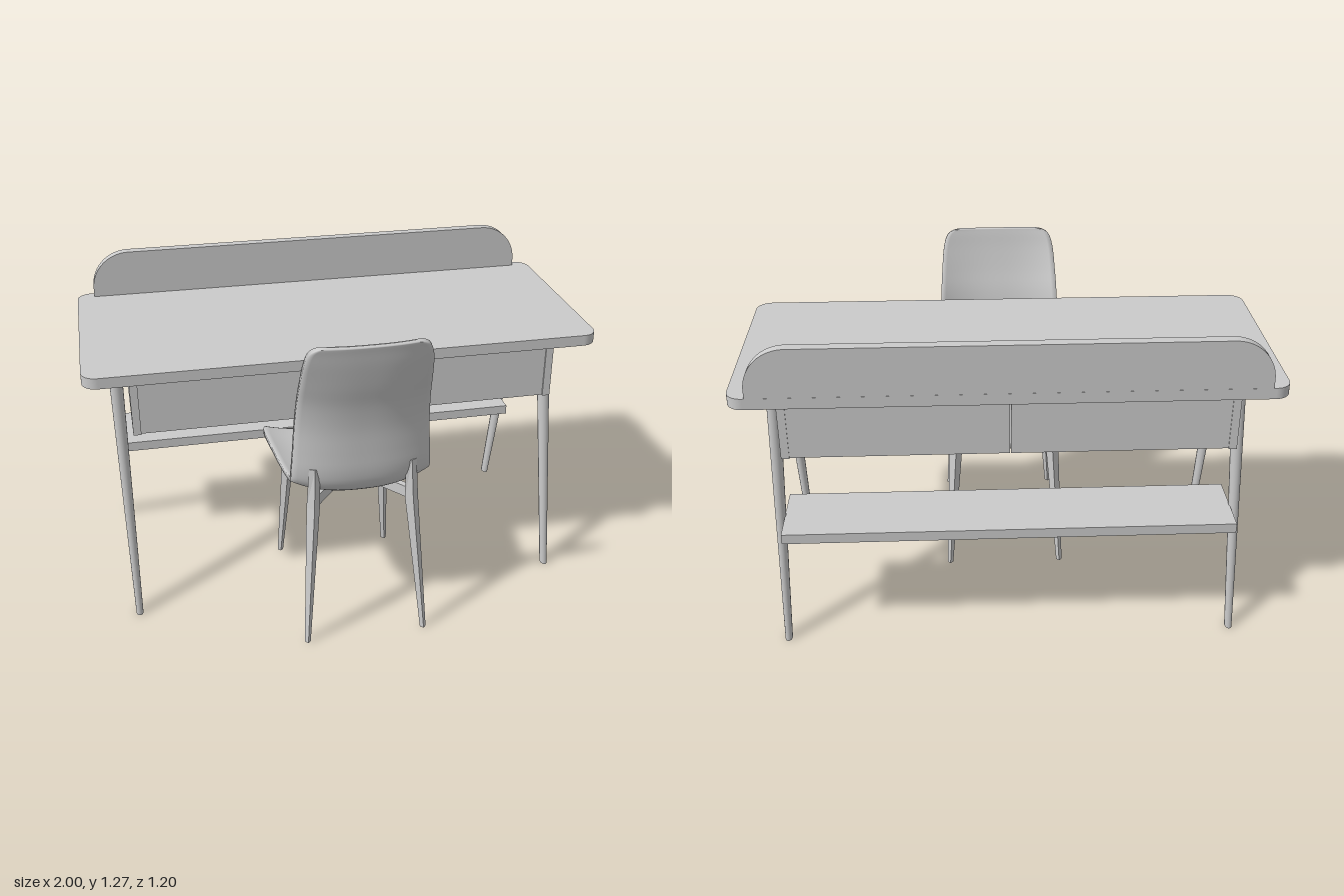
import * as THREE from 'three';

const grey = new THREE.MeshStandardMaterial({ color: 0xcccccc });
const greyFlat = new THREE.MeshStandardMaterial({ color: 0xcccccc, flatShading: true });

function add(parent, name, geometry, material = grey) {
  const mesh = new THREE.Mesh(geometry, material);
  mesh.name = name;
  parent.add(mesh);
  return mesh;
}

// Box given by its limits on each axis
function box(parent, name, [x0, x1], [y0, y1], [z0, z1]) {
  const g = new THREE.BoxGeometry(x1 - x0, y1 - y0, z1 - z0);
  g.translate((x0 + x1) / 2, (y0 + y1) / 2, (z0 + z1) / 2);
  return add(parent, name, g);
}

// Slab from a rectangle with rounded upper and lower corners
function slab(w, h, rTop, rBottom, depth) {
  const s = new THREE.Shape();
  const x = w / 2, y = h / 2;
  s.moveTo(-x + rBottom, -y);
  s.lineTo(x - rBottom, -y);
  if (rBottom) s.absarc(x - rBottom, -y + rBottom, rBottom, -Math.PI / 2, 0);
  s.lineTo(x, y - rTop);
  s.absarc(x - rTop, y - rTop, rTop, 0, Math.PI / 2);
  s.absarc(-x + rTop, y - rTop, rTop, Math.PI / 2, Math.PI);
  s.lineTo(-x, -y + rBottom);
  if (rBottom) s.absarc(-x + rBottom, -y + rBottom, rBottom, Math.PI, Math.PI * 1.5);
  return new THREE.ExtrudeGeometry(s, { depth, bevelEnabled: false, curveSegments: 12 });
}

// Slanted tapering post with level ends; each end is [x, y, z, rx, rz]
function post(parent, name, sides, low, high) {
  const g = new THREE.CylinderGeometry(1, 1, 1, sides);
  const p = g.attributes.position;
  for (let i = 0; i < p.count; i++) {
    const t = p.getY(i) + 0.5;
    const [cx, cy, cz, rx, rz] = low.map((v, k) => v + (high[k] - v) * t);
    p.setXYZ(i, cx + p.getX(i) * rx, cy, cz + p.getZ(i) * rz);
  }
  return add(parent, name, g, sides < 8 ? greyFlat : grey);
}

function createDesk() {
  const desk = new THREE.Group();
  desk.name = 'desk';

  const top = slab(2, 0.855, 0.06, 0.06, 0.043);
  top.rotateX(-Math.PI / 2).translate(0, 1.032, -0.168);
  add(desk, 'deskTop', top);

  const panel = slab(1.86, 0.187, 0.155, 0, 0.04);
  panel.translate(0, 1.168, -0.595);
  add(desk, 'backPanel', panel);

  box(desk, 'footShelf', [-0.857, 0.857], [0.455, 0.495], [-0.585, -0.3]);

  for (const s of [-1, 1]) {
    // Drawer case: two drawers between side panels
    const xs = (a, b) => (s > 0 ? [a, b] : [-b, -a]);
    box(desk, 'drawer', xs(0.002, 0.8), [0.812, 1.02], [-0.557, 0.22]);
    box(desk, 'caseSide', xs(0.8, 0.83), [0.81, 1.022], [-0.56, 0.226]);

    // Splayed legs
    post(desk, 'frontLeg', 24, [s * 0.872, 0, 0.238, 0.014, 0.023], [s * 0.876, 1.033, -0.014, 0.027, 0.036]);
    post(desk, 'backLeg', 24, [s * 0.872, 0, -0.57, 0.014, 0.023], [s * 0.876, 1.033, -0.316, 0.027, 0.036]);

    // Side peg with a ball end
    const peg = new THREE.CylinderGeometry(0.018, 0.026, 0.13, 20);
    peg.rotateZ(-s * Math.PI / 2).translate(s * 0.89, 0.89, -0.165);
    add(desk, 'peg', peg);
    const ball = new THREE.SphereGeometry(0.029, 24, 16);
    ball.translate(s * 0.971, 0.89, -0.165);
    add(desk, 'pegBall', ball);
  }
  return desk;
}

// Moulded seat and back: stations run from the top of the back to the seat front
function shellGeometry() {
  // z, y, half width, forward/upward curl of the side edges
  const stations = [
    [0.595, 1.268, 0.165, 0.01], [0.593, 1.258, 0.198, 0.014], [0.588, 1.235, 0.222, 0.02],
    [0.577, 1.18, 0.236, 0.028], [0.555, 1.09, 0.244, 0.04], [0.53, 1.0, 0.25, 0.05],
    [0.513, 0.9, 0.256, 0.055], [0.507, 0.8, 0.262, 0.055], [0.503, 0.72, 0.268, 0.055],
    [0.49, 0.66, 0.27, 0.055], [0.46, 0.622, 0.27, 0.058], [0.4, 0.605, 0.276, 0.062],
    [0.3, 0.602, 0.288, 0.064], [0.2, 0.605, 0.299, 0.066], [0.1, 0.607, 0.307, 0.062],
    [0.02, 0.606, 0.307, 0.053], [-0.05, 0.597, 0.288, 0.035], [-0.09, 0.584, 0.25, 0.016],
    [-0.11, 0.574, 0.18, 0.006],
  ];
  const spine = new THREE.CatmullRomCurve3(
    stations.map(([z, y, w]) => new THREE.Vector3(w, y, z)), false, 'catmullrom');
  const curls = new THREE.CatmullRomCurve3(
    stations.map((s) => new THREE.Vector3(s[3], 0, 0)), false, 'catmullrom');
  const rows = 72, n = 24, ring = 2 * (n + 1);
  const pos = [], index = [];
  for (let i = 0; i <= rows; i++) {
    const c = spine.getPoint(i / rows), d = spine.getTangent(i / rows);
    const curl = curls.getPoint(i / rows).x;
    const len = Math.hypot(d.y, d.z);
    const ny = -d.z / len, nz = d.y / len;
    const half = 0.01 * Math.min(1, Math.sqrt(Math.min(i, rows - i) / 2));
    for (let j = 0; j < ring; j++) {
      const upper = j <= n;
      const u = upper ? (2 * j) / n - 1 : 1 - (2 * (j - n - 1)) / n;
      const off = curl * Math.abs(u) ** 2.5 + (upper ? half : -half);
      pos.push(u * c.x, c.y + ny * off, c.z + nz * off);
      if (i < rows) {
        const a = i * ring + j, b = i * ring + ((j + 1) % ring);
        index.push(a, b, a + ring, b, b + ring, a + ring);
      }
    }
  }
  const g = new THREE.BufferGeometry();
  g.setAttribute('position', new THREE.Float32BufferAttribute(pos, 3));
  g.setIndex(index);
  g.computeVertexNormals();
  return g;
}

function createChair() {
  const chair = new THREE.Group();
  chair.name = 'chair';
  add(chair, 'seatShell', shellGeometry());

  for (const s of [-1, 1]) {
    // Four-sided legs turned to the diagonals
    const knee = [s * 0.192, 0.57, 0.484, 0.026, 0.028];
    post(chair, 'rearLeg', 4, [s * 0.235, 0, 0.565, 0.012, 0.013], knee);
    post(chair, 'rearLegTip', 4, knee, [s * 0.186, 0.735, 0.486, 0.021, 0.011]);
    post(chair, 'foreLeg', 4, [s * 0.235, 0, -0.092, 0.012, 0.013], [s * 0.195, 0.605, -0.016, 0.028, 0.029]);

    // Crossed rails under the seat
    const dx = 0.38, dz = 0.48;
    const rail = add(chair, 'crossRail', new THREE.BoxGeometry(Math.hypot(dx, dz), 0.045, 0.026));
    rail.position.set(0, 0.5825, 0.232);
    rail.rotation.y = s * Math.atan2(dz, dx);
  }
  return chair;
}

export function createModel() {
  const model = new THREE.Group();
  model.name = 'deskAndChair';
  model.add(createDesk(), createChair());
  return model;
}
